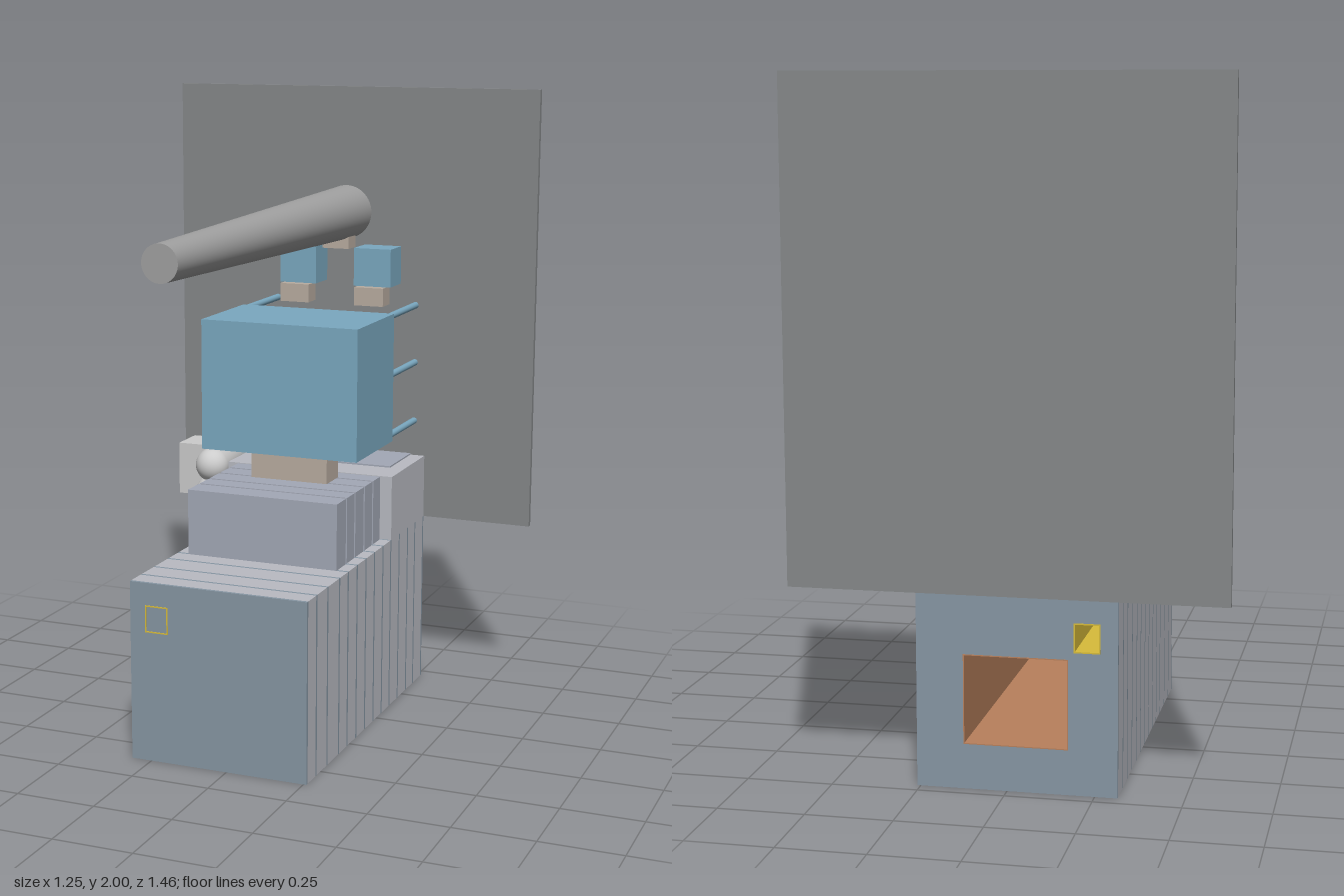
import * as THREE from 'three';

const CX = -0.027; // the apparatus stands slightly off the centre of the screen
const BACK = -0.71;

const mat = (color, extra = {}) => new THREE.MeshStandardMaterial({ color, ...extra });
const M = {
  screen: mat(0x858889),
  barrel: mat(0xa0a0a0),
  panel: mat(0xb9bbc2),
  slate: mat(0x8696a3),
  slab: mat(0xa3a8b6),
  blue: mat(0x7aa8c0),
  beige: mat(0xb8aca0),
  copper: mat(0xb8805c, { side: THREE.DoubleSide }),
  yellow: mat(0xd8bc3a, { side: THREE.DoubleSide }),
  grey: mat(0xcccccc),
};

export function createModel() {
  const model = new THREE.Group();

  const add = (name, geo, material, parent = model) => {
    const mesh = new THREE.Mesh(geo, material);
    mesh.name = name;
    parent.add(mesh);
    return mesh;
  };
  // box given by its limits on each axis
  const box = (name, [x0, x1], [y0, y1], [z0, z1], material, parent) => {
    const m = add(name, new THREE.BoxGeometry(x1 - x0, y1 - y0, z1 - z0), material, parent);
    m.position.set((x0 + x1) / 2, (y0 + y1) / 2, (z0 + z1) / 2);
    return m;
  };
  const group = (name) => {
    const g = new THREE.Group();
    g.name = name;
    model.add(g);
    return g;
  };
  const rect = (C, [x0, x1], [y0, y1], inset = 0) => {
    const i = inset;
    return new C([[x0 + i, y0 + i], [x1 - i, y0 + i], [x1 - i, y1 - i], [x0 + i, y1 - i]]
      .map(([x, y]) => new THREE.Vector2(x, y)));
  };
  // rectangle with rectangular holes, extruded from z0 to z1
  const pierced = (shape, holes, z0, z1) => {
    shape.holes = holes;
    return new THREE.ExtrudeGeometry(shape, { depth: z1 - z0, bevelEnabled: false }).translate(0, 0, z0);
  };

  // Screen behind everything
  box('backScreen', [-0.627, 0.627], [0.565, 2], [-0.732, -0.713], M.screen);

  // Lower housing: slate divider plates with open-bottomed shells between
  const W = [-0.315, 0.26], H = [0, 0.565];
  const well = [[-0.175, 0.125], [0.13, 0.39]];
  const port = [[-0.265, -0.19], [0.41, 0.495]];
  const lower = group('lowerHousing');
  const dividers = [BACK + 0.005, -0.62, -0.545, -0.46, -0.376, -0.3, -0.22, -0.14, -0.06, 0.02, 0.095, 0.195, 0.286, 0.36];
  dividers.forEach((z, i) => {
    const last = i === dividers.length - 1;
    const holes = last ? [] : [rect(THREE.Path, ...well), rect(THREE.Path, ...port)];
    add('dividerPlate', pierced(rect(THREE.Shape, W, H), holes, z - 0.005, z + 0.005), M.slate, lower);
    if (last) return;
    const span = [z + 0.005, dividers[i + 1] - 0.005];
    box('shellLeft', [W[1] - 0.012, W[1]], H, span, M.panel, lower);
    box('shellRight', [W[0], W[0] + 0.012], H, span, M.panel, lower);
    box('shellTop', [W[0] + 0.012, W[1] - 0.012], [H[1] - 0.012, H[1]], span, M.panel, lower);
  });

  // Deep copper well and yellow duct running through the housing
  add('wellLining', pierced(rect(THREE.Shape, ...well), [rect(THREE.Path, ...well, 0.003)], BACK - 0.001, 0.29), M.copper, lower);
  box('wellEnd', ...well, [0.285, 0.292], M.copper, lower);
  add('duct', pierced(rect(THREE.Shape, ...port), [rect(THREE.Path, ...port, 0.004)], BACK - 0.001, 0.367), M.yellow, lower);

  // Upper stack: narrow slabs in front of a wide block
  const upper = group('upperStack');
  const cuts = [0.025, -0.06, -0.135, -0.22, -0.3, -0.375];
  for (let i = 0; i < cuts.length - 1; i++) {
    box('stackSlab', [-0.277, 0.223], [0.565, 0.775], [cuts[i + 1] + 0.005, cuts[i] - (i ? 0.005 : 0)], M.slab, upper);
    box('stackDivider', [-0.272, 0.218], [0.565, 0.77], [cuts[i + 1] - 0.005, cuts[i + 1] + 0.005], M.slate, upper);
  }
  box('wideBlock', W, [0.565, 0.775], [BACK, -0.378], M.panel, upper);
  box('topStrip', [-0.265, 0.211], [0.773, 0.78], [BACK, -0.5], M.slab, upper);

  // Blue chamber on its pedestal
  box('pedestal', [-0.16, 0.1], [0.775, 0.88], [-0.31, -0.208], M.beige);
  box('chamber', [-0.29, 0.235], [0.877, 1.295], [-0.452, -0.113], M.blue);

  // Four tapered horns and six rods behind the chamber
  for (const side of [-1, 1]) {
    for (const y of [1.195, 1.005]) {
      const horn = new THREE.CylinderGeometry(0.03 * Math.SQRT2, 0.08 * Math.SQRT2, 0.17, 4, 1)
        .toNonIndexed().rotateY(Math.PI / 4).rotateX(-Math.PI / 2);
      horn.computeVertexNormals();
      add('horn', horn, M.blue).position.set(CX + side * 0.13, y, -0.535);
    }
    for (const y of [1.285, 1.092, 0.893]) {
      const rod = new THREE.CylinderGeometry(0.011, 0.011, 0.27, 16).rotateX(Math.PI / 2);
      add('rod', rod, M.blue).position.set(CX + side * 0.247, y, -0.578);
    }
    // Small blue units on spacers
    const x = CX + side * 0.131;
    box('smallUnit', [x - 0.064, x + 0.064], [1.355, 1.48], [BACK, -0.605], M.blue);
    box('unitSpacer', [x - 0.05, x + 0.05], [1.295, 1.355], [-0.637, -0.572], M.beige);
  }

  // Long tapered barrel and its support
  box('barrelSupport', [-0.073, 0.019], [1.475, 1.515], [-0.675, -0.61], M.beige);
  const barrel = new THREE.CylinderGeometry(0.055, 0.088, 1.445, 48).rotateX(Math.PI / 2);
  add('barrel', barrel, M.barrel).position.set(CX, 1.587, 0.0095);

  // Two round-ended cylinders beside a small box on the screen
  box('sideBox', [-0.59, -0.47], [0.597, 0.775], [BACK, -0.58], M.grey);
  for (const y of [0.725, 0.63]) {
    const profile = new THREE.Path().moveTo(0, 0).lineTo(0.058, 0).lineTo(0.058, 0.195)
      .absarc(0, 0.195, 0.058, 0, Math.PI / 2, false);
    const tank = new THREE.LatheGeometry(profile.getPoints(12), 32).rotateX(Math.PI / 2);
    add('roundEndedCylinder', tank, mat(0xcccccc, { side: THREE.DoubleSide })).position.set(-0.434, y, BACK);
  }

  return model;
}
